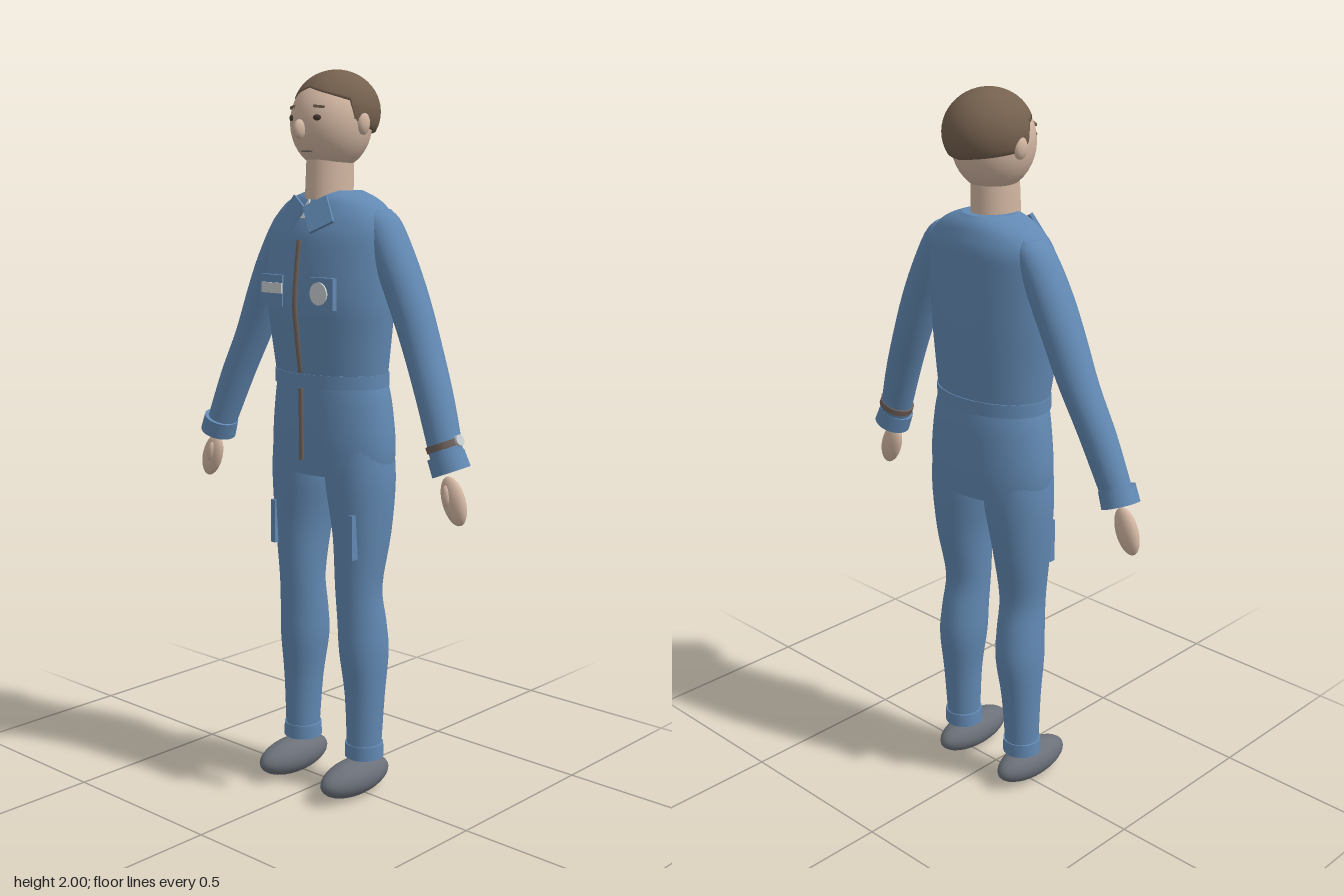
import * as THREE from 'three';

const mat = (name, color, side = THREE.FrontSide) => {
  const m = new THREE.MeshStandardMaterial({ color, side });
  m.name = name;
  return m;
};

// Smooth body from horizontal ellipse rings [y, cx, cz, rx, rz], listed top to bottom.
function loft(rings, seg = 32, sub = 4) {
  const pos = [], idx = [], rows = [];
  const cr = (a, b, c, d, t) => 0.5 * (2 * b + (c - a) * t + (2 * a - 5 * b + 4 * c - d) * t * t + (3 * b - a - 3 * c + d) * t * t * t);
  const at = (i) => rings[Math.min(Math.max(i, 0), rings.length - 1)];
  for (let i = 0; i < rings.length - 1; i++)
    for (let k = 0; k < sub; k++)
      rows.push(rings[0].map((_, n) => cr(at(i - 1)[n], at(i)[n], at(i + 1)[n], at(i + 2)[n], k / sub)));
  rows.push(rings[rings.length - 1]);
  const addRing = ([y, cx, cz, rx, rz]) => {
    for (let j = 0; j < seg; j++) {
      const a = (j / seg) * Math.PI * 2;
      pos.push(cx + rx * Math.sin(a), y, cz + rz * Math.cos(a));
    }
  };
  rows.forEach(addRing);
  for (let i = 0; i < rows.length - 1; i++)
    for (let j = 0; j < seg; j++) {
      const a = i * seg + j, b = i * seg + ((j + 1) % seg);
      idx.push(a, a + seg, b + seg, a, b + seg, b);
    }
  // flat end caps with their own vertices
  for (const [row, top] of [[rows[0], true], [rows[rows.length - 1], false]]) {
    const s = pos.length / 3;
    addRing(row);
    pos.push(row[1], row[0], row[2]);
    for (let j = 0; j < seg; j++) {
      const a = s + j, b = s + ((j + 1) % seg);
      idx.push(...(top ? [a, b, s + seg] : [b, a, s + seg]));
    }
  }
  const g = new THREE.BufferGeometry();
  g.setAttribute('position', new THREE.Float32BufferAttribute(pos, 3));
  g.setIndex(idx);
  g.computeVertexNormals();
  return g;
}

// Hair cap: part of an ellipsoid whose hem height depends on the angle from the front.
function hairGeometry() {
  const seg = 72, rows = 16, pos = [], idx = [];
  for (let i = 0; i <= rows + 1; i++)
    for (let j = 0; j < seg; j++) {
      const a = (j / seg) * Math.PI * 2, f = Math.min(a, Math.PI * 2 - a);
      const front = 1.95 - 0.03 * f, back = 1.85 - 0.02 * (f - 1.2) / 1.94;
      const hem = THREE.MathUtils.lerp(front, back, THREE.MathUtils.smoothstep(f, 1.14, 1.27));
      const th = Math.acos((hem - 1.89) / 0.11) * Math.min(i / rows, 1);
      const r = Math.sin(th) * (i > rows ? 0.85 : 1);
      pos.push(0.111 * r * Math.sin(a), 1.89 + 0.11 * Math.cos(th), -0.03 + 0.126 * r * Math.cos(a));
      if (i <= rows) {
        const p = i * seg + j, q = i * seg + ((j + 1) % seg);
        idx.push(p, p + seg, q + seg, p, q + seg, q);
      }
    }
  const g = new THREE.BufferGeometry();
  g.setAttribute('position', new THREE.Float32BufferAttribute(pos, 3));
  g.setIndex(idx);
  g.computeVertexNormals();
  return g;
}

export function createModel() {
  const root = new THREE.Group();
  root.name = 'workerFigure';
  const blue = mat('overallBlue', 0x6289b3), skin = mat('skin', 0xd2b6a2);
  const brown = mat('hairBrown', 0x75614f, THREE.DoubleSide), grey = mat('shoeGrey', 0x6b7079);
  const zip = mat('zipperBrown', 0x70625b), pale = mat('paleGrey', 0xc9ced2), dark = mat('eyeBrown', 0x4a3a32);

  const add = (name, geo, m, p = [0, 0, 0], r = [0, 0, 0]) => {
    const mesh = new THREE.Mesh(geo, m);
    mesh.name = name;
    mesh.position.set(...p);
    mesh.rotation.set(...r);
    root.add(mesh);
    return mesh;
  };
  const ball = (rx, ry, rz, w = 32) => new THREE.SphereGeometry(1, w, w / 2).scale(rx, ry, rz);
  const box = (x, y, z) => new THREE.BoxGeometry(x, y, z);
  const faceZ = (x, y) => -0.008 + 0.117 * Math.sqrt(Math.max(0, 1 - (x / 0.104) ** 2 - ((y - 1.86) / 0.125) ** 2));

  // Head
  add('head', ball(0.104, 0.125, 0.117, 40), skin, [0, 1.86, -0.008]);
  add('hair', hairGeometry(), brown);
  add('neck', loft([[1.8, 0, -0.005, 0.057, 0.07], [1.66, 0, 0, 0.058, 0.074]]), skin);
  add('nose', ball(0.014, 0.026, 0.02, 16), skin, [0, 1.842, 0.115]);
  add('mouth', box(0.035, 0.004, 0.006), zip, [0, 1.786, faceZ(0, 1.786) - 0.001]);

  // Torso, belt and pelvis
  add('torso', loft([
    [1.683, 0, -0.025, 0.075, 0.07], [1.665, 0, -0.023, 0.125, 0.09], [1.64, 0, -0.022, 0.165, 0.103],
    [1.6, 0, -0.018, 0.194, 0.119], [1.54, 0, -0.01, 0.203, 0.129], [1.4, 0, -0.003, 0.202, 0.137],
    [1.3, 0, -0.006, 0.19, 0.132], [1.18, 0, -0.01, 0.174, 0.122]], 48), blue);
  add('waistband', loft([[1.197, 0, -0.01, 0.179, 0.126], [1.16, 0, -0.01, 0.179, 0.126]], 48), blue);
  add('pelvis', loft([
    [1.17, 0, -0.012, 0.174, 0.122], [1.12, 0, -0.015, 0.185, 0.126], [1.03, 0, -0.017, 0.197, 0.128],
    [0.97, 0, -0.018, 0.198, 0.127], [0.92, 0, -0.018, 0.19, 0.125]], 48), blue);

  // Zipper halves above and below the waistband
  add('upperZipper', loft([[1.555, 0, 0.116, 0.008, 0.007], [1.4, 0, 0.134, 0.008, 0.007],
    [1.3, 0, 0.126, 0.008, 0.007], [1.2, 0, 0.112, 0.008, 0.007]], 8), zip);
  add('lowerZipper', loft([[1.158, 0, 0.111, 0.008, 0.007], [0.96, 0, 0.11, 0.008, 0.007]], 8), zip);

  // Undershirt patch in the open collar
  const tri = new THREE.Shape([[-0.02, -0.03], [0.02, -0.03], [0, 0.025]].map(([x, y]) => new THREE.Vector2(x, y)));
  add('undershirt', new THREE.ExtrudeGeometry(tri, { depth: 0.006, bevelEnabled: false }), pale, [0, 1.637, 0.084], [-0.4, 0, 0]);

  for (const s of [1, -1]) {
    const side = s > 0 ? 'left' : 'right';
    // Face details
    add(side + 'Ear', ball(0.014, 0.03, 0.022, 16), skin, [s * 0.104, 1.858, -0.02]);
    add(side + 'Eye', ball(0.011, 0.008, 0.005, 16), dark, [s * 0.046, 1.872, faceZ(0.046, 1.872)], [0, s * 0.45, 0]);
    add(side + 'Eyebrow', box(0.03, 0.007, 0.008), brown, [s * 0.047, 1.9, faceZ(0.047, 1.9)], [0, s * 0.5, -s * 0.1]);

    // Collar and pockets
    add(side + 'Collar', box(0.073, 0.08, 0.01), blue, [s * 0.048, 1.622, 0.094], [-0.4, s * 0.2, s * 0.56]);
    add(side + 'ChestPocket', box(0.084, 0.084, 0.016), blue, [s * 0.092, 1.418, 0.124]);
    add(side + 'ThighPocket', box(0.016, 0.124, 0.024), blue, [s * 0.147, 0.758, 0.064]);

    // Arm
    add(side + 'Arm', loft([
      [1.635, s * 0.15, -0.03, 0.03, 0.035], [1.6, s * 0.165, -0.028, 0.052, 0.055],
      [1.5, s * 0.215, -0.025, 0.059, 0.06], [1.4, s * 0.262, -0.024, 0.058, 0.058],
      [1.28, s * 0.313, -0.02, 0.054, 0.054], [1.15, s * 0.37, -0.006, 0.051, 0.05],
      [0.99, s * 0.43, 0.011, 0.045, 0.043]]), blue);
    add(side + 'SleeveCuff', new THREE.CylinderGeometry(0.05, 0.052, 0.048, 32), blue, [s * 0.431, 0.995, 0.012], [0.06, 0, s * 0.38]);
    add(side + 'Hand', ball(0.035, 0.066, 0.022), skin, [s * 0.456, 0.9, 0.02], [0, 0, s * 0.36]);
    add(side + 'Thumb', ball(0.012, 0.03, 0.012, 16), skin, [s * 0.446, 0.913, 0.036], [0, 0, s * 0.2]);

    // Leg and shoe
    add(side + 'Leg', loft([
      [1.02, s * 0.1, -0.015, 0.09, 0.095], [0.9, s * 0.102, -0.016, 0.097, 0.098],
      [0.75, s * 0.111, -0.013, 0.078, 0.085], [0.6, s * 0.108, -0.004, 0.064, 0.068],
      [0.5, s * 0.111, -0.014, 0.065, 0.072], [0.41, s * 0.114, -0.02, 0.066, 0.074],
      [0.28, s * 0.119, -0.019, 0.055, 0.058], [0.11, s * 0.12, -0.015, 0.046, 0.05]]), blue);
    add(side + 'TrouserCuff', new THREE.CylinderGeometry(0.054, 0.055, 0.04, 32), blue, [s * 0.12, 0.125, -0.016]);
    add(side + 'Shoe', ball(0.056, 0.052, 0.13), grey, [s * 0.12, 0.053, 0.023]);
  }

  // Name plate, round badge and wristwatch
  add('namePlate', box(0.074, 0.028, 0.006), pale, [-0.086, 1.425, 0.134]);
  add('badge', new THREE.CylinderGeometry(0.03, 0.03, 0.006, 32), pale, [0.086, 1.418, 0.134], [Math.PI / 2, 0, 0]);
  add('watchStrap', new THREE.CylinderGeometry(0.05, 0.05, 0.018, 32), zip, [0.413, 1.039, 0.006], [0.06, 0, 0.38]);
  add('watchFace', new THREE.CylinderGeometry(0.015, 0.015, 0.008, 24), pale, [0.46, 1.058, 0.006], [0, 0, 0.38 - Math.PI / 2]);
  return root;
}
